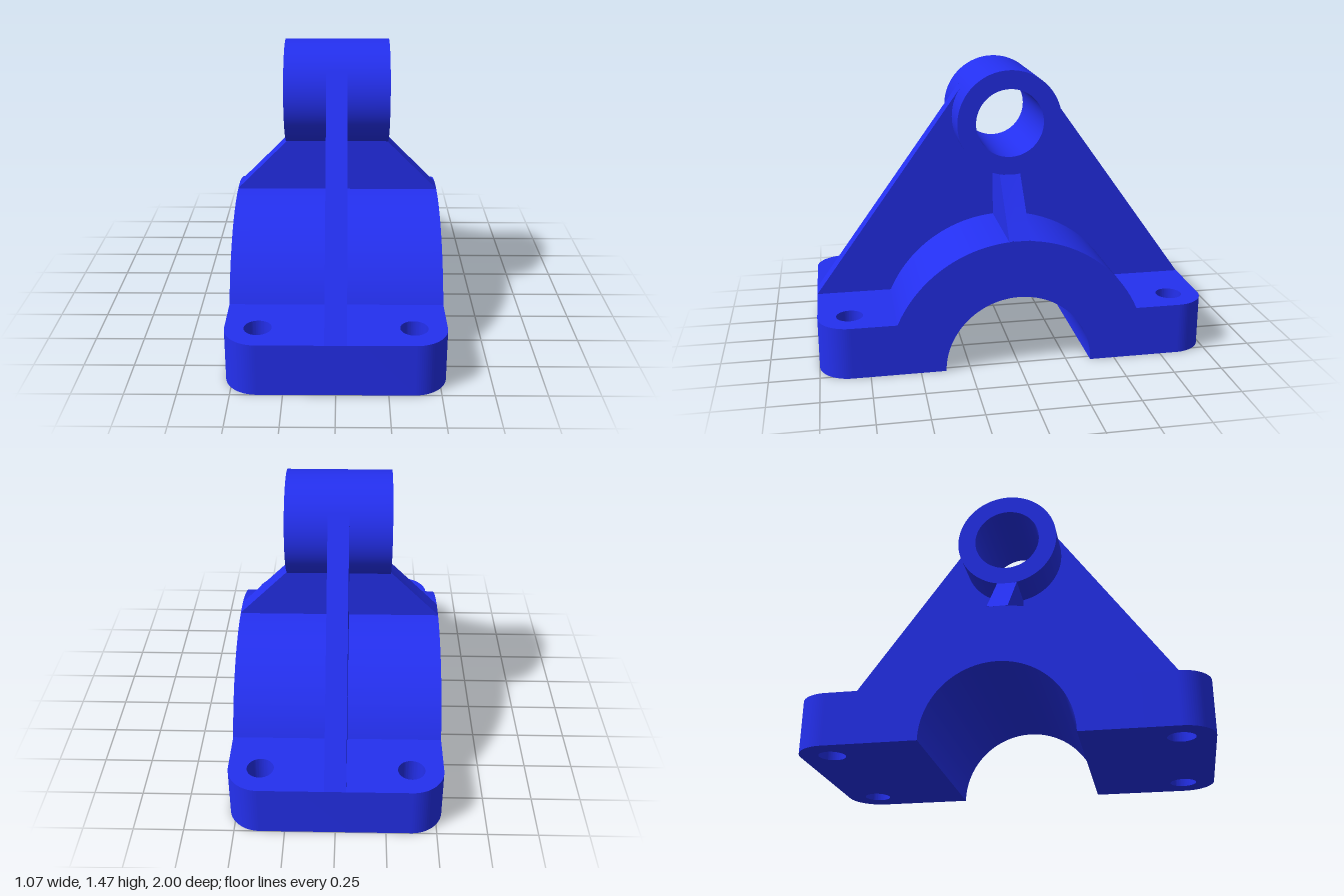
import * as THREE from 'three';
import { toCreasedNormals } from 'three/addons/utils/BufferGeometryUtils.js';

const W = 0.533;        // half width
const FOOT_H = 0.267;   // foot thickness
const ARCH_R = 0.667, BORE_R = 0.373;
const BOSS_Y = 1.2, BOSS_R = 0.267, PIN_R = 0.173;
const RIB = 0.053;      // half rib thickness
const FOOT_Z = Math.sqrt(ARCH_R ** 2 - FOOT_H ** 2); // where arch meets foot top

const material = new THREE.MeshStandardMaterial({ color: 0x2430f0 });

function extrude(shape, depth) {
  return new THREE.ExtrudeGeometry(shape, { depth, bevelEnabled: false, curveSegments: 48 });
}

function part(name, geometry) {
  const mesh = new THREE.Mesh(toCreasedNormals(geometry, 0.4), material);
  mesh.name = name;
  return mesh;
}

// Side profile drawn as (z, y), extruded across x and centred
function acrossX(shape, halfWidth) {
  return extrude(shape, halfWidth * 2).translate(0, 0, -halfWidth).rotateY(-Math.PI / 2);
}

function circleHole(x, y, r) {
  return new THREE.Path().absarc(x, y, r, 0, Math.PI * 2, true);
}

// Half-round bearing cap with straight sides down to the ground
function archShape() {
  const a = Math.asin(FOOT_H / ARCH_R);
  const s = new THREE.Shape();
  s.moveTo(BORE_R, 0);
  s.lineTo(FOOT_Z, 0);
  s.absarc(0, 0, ARCH_R, a, Math.PI - a, false);
  s.lineTo(-FOOT_Z, 0);
  s.lineTo(-BORE_R, 0);
  s.absarc(0, 0, BORE_R, Math.PI, 0, true);
  return s;
}

// Bolt-down foot: rounded outer corners and two bolt holes
function footGeometry() {
  const r = 0.16, cx = W - r, cy = 1 - r;
  const s = new THREE.Shape();
  s.moveTo(-W, FOOT_Z);
  s.lineTo(W, FOOT_Z);
  s.absarc(cx, cy, r, 0, Math.PI / 2, false);
  s.absarc(-cx, cy, r, Math.PI / 2, Math.PI, false);
  s.closePath();
  for (const side of [-1, 1]) s.holes.push(circleHole(side * cx, cy, 0.067));
  return extrude(s, FOOT_H).rotateX(-Math.PI / 2);
}

// Long rib: sides tangent to the boss, underside sunk into the arch
function longRibShape() {
  const rise = BOSS_Y - FOOT_H;
  const t = Math.acos(BOSS_R / Math.hypot(1, rise)) - Math.atan2(rise, 1);
  const r = ARCH_R - 0.02, y = FOOT_H - 0.015, a = Math.asin(y / r);
  const s = new THREE.Shape();
  s.moveTo(0.98, y);
  s.lineTo(1, FOOT_H);
  s.lineTo(BOSS_R * Math.cos(t), BOSS_Y + BOSS_R * Math.sin(t));
  s.absarc(0, BOSS_Y, BOSS_R - 0.005, t, Math.PI - t, false);
  s.lineTo(-BOSS_R * Math.cos(t), BOSS_Y + BOSS_R * Math.sin(t));
  s.lineTo(-1, FOOT_H);
  s.lineTo(-0.98, y);
  s.absarc(0, 0, r, Math.PI - a, a, true);
  s.closePath();
  s.holes.push(circleHole(0, BOSS_Y, 0.22));
  return s;
}

// Cross rib flaring from the boss out to the arch ends
function crossRibGeometry() {
  const s = new THREE.Shape([
    [-0.5, 0.64], [0.5, 0.64], [W, ARCH_R], [0.267, 0.935],
    [0.25, 0.96], [-0.25, 0.96], [-0.267, 0.935], [-W, ARCH_R],
  ].map(([x, y]) => new THREE.Vector2(x, y)));
  return extrude(s, RIB * 2).translate(0, 0, -RIB);
}

export function createModel() {
  const group = new THREE.Group();
  group.name = 'bearingBracket';

  group.add(part('archCap', acrossX(archShape(), W)));

  for (const [name, angle] of [['backFoot', 0], ['frontFoot', Math.PI]]) {
    const foot = part(name, footGeometry());
    foot.rotation.y = angle;
    group.add(foot);
  }

  const ring = new THREE.Shape().absarc(0, BOSS_Y, BOSS_R, 0, Math.PI * 2, false);
  ring.holes.push(circleHole(0, BOSS_Y, PIN_R));
  group.add(part('pinBoss', acrossX(ring, 0.267)));

  group.add(part('longRib', acrossX(longRibShape(), RIB)));
  group.add(part('crossRib', crossRibGeometry()));
  return group;
}
